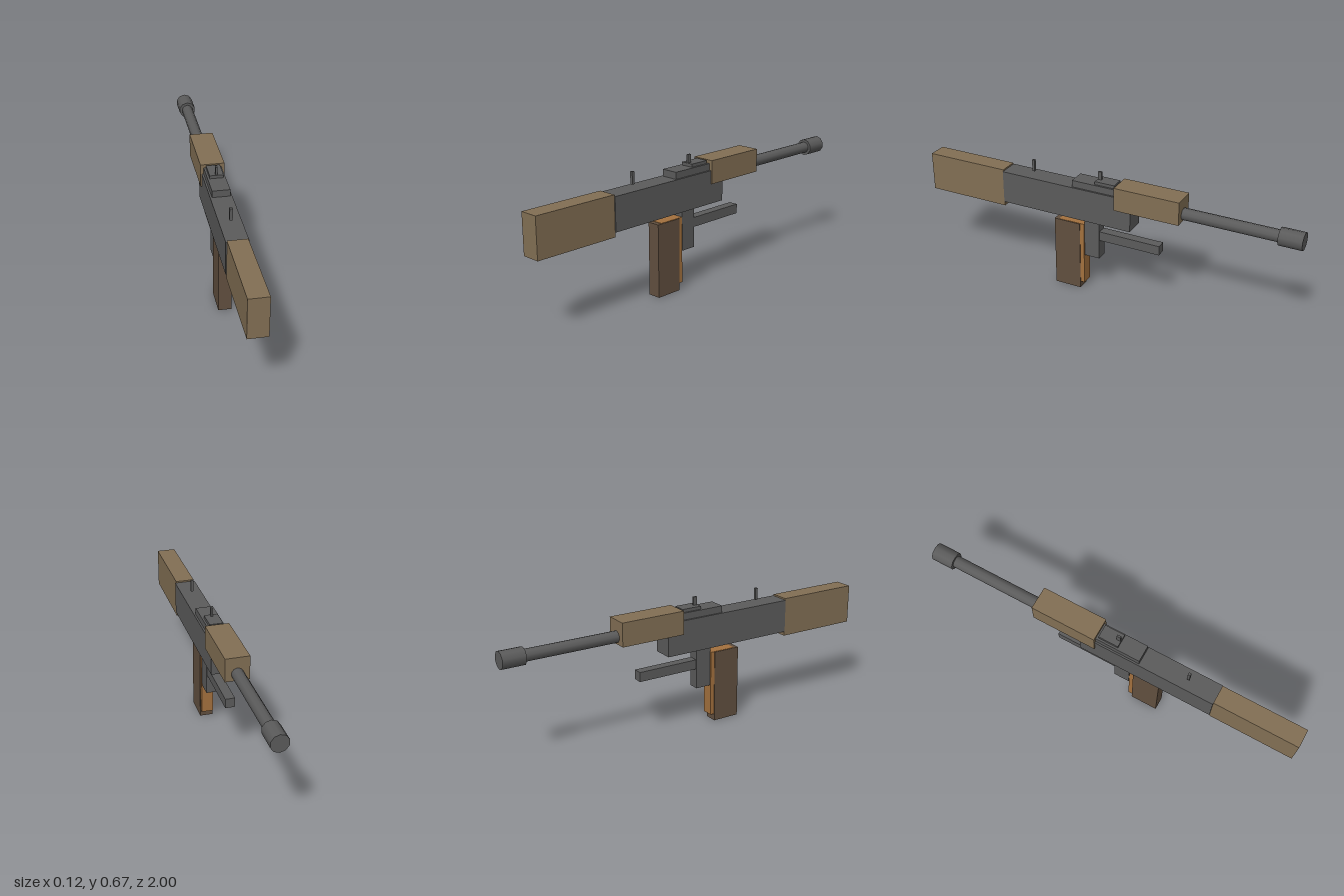
import * as THREE from 'three';

const material = (name, color) => {
  const m = new THREE.MeshStandardMaterial({ color });
  m.name = name;
  return m;
};

export function createModel() {
  const model = new THREE.Group();
  model.name = 'blockyRifle';

  const steel = material('steel grey', 0x5b5b5b);
  const tan = material('tan wood', 0x826f54);
  const brown = material('dark brown', 0x614f3f);
  const orange = material('orange wood', 0xa3713e);

  const add = (name, geometry, mat) => {
    const mesh = new THREE.Mesh(geometry, mat);
    mesh.name = name;
    model.add(mesh);
    return mesh;
  };

  // Box centred on x, given its half width and its y and z ranges
  const box = (name, mat, halfX, y0, y1, z0, z1) => {
    add(name, new THREE.BoxGeometry(halfX * 2, y1 - y0, z1 - z0), mat)
      .position.set(0, (y0 + y1) / 2, (z0 + z1) / 2);
  };

  // Cylinder lying along z
  const tube = (name, mat, radius, y, z0, z1) => {
    const geometry = new THREE.CylinderGeometry(radius, radius, z1 - z0, 10);
    geometry.rotateX(Math.PI / 2);
    add(name, geometry, mat).position.set(0, y, (z0 + z1) / 2);
  };

  // Body
  box('stock', tan, 0.048, 0.386, 0.588, 0.56, 1);
  box('receiver', steel, 0.053, 0.41, 0.58, -0.155, 0.56);
  box('handguard', tan, 0.06, 0.512, 0.632, -0.41, -0.07);

  // Barrel
  tube('barrel', steel, 0.03, 0.549, -0.89, -0.4);
  tube('muzzle', steel, 0.044, 0.549, -1, -0.885);

  // Top cover and sights
  box('topCover', steel, 0.044, 0.58, 0.615, -0.075, 0.165);
  box('sightBase', steel, 0.034, 0.615, 0.631, -0.06, 0.045);
  box('frontSight', steel, 0.005, 0.631, 0.673, 0.022, 0.042);
  box('rearSight', steel, 0.007, 0.597, 0.658, 0.399, 0.412);

  // Lower block and forward bar
  box('lowerBlock', steel, 0.028, 0.2, 0.41, 0.025, 0.107);
  box('forwardBar', steel, 0.024, 0.303, 0.352, -0.3, 0.025);

  // Grip with its inlay
  box('grip', brown, 0.033, 0, 0.374, 0.132, 0.275);
  box('gripInlay', orange, 0.03, 0.036, 0.376, 0.11, 0.25);

  return model;
}
